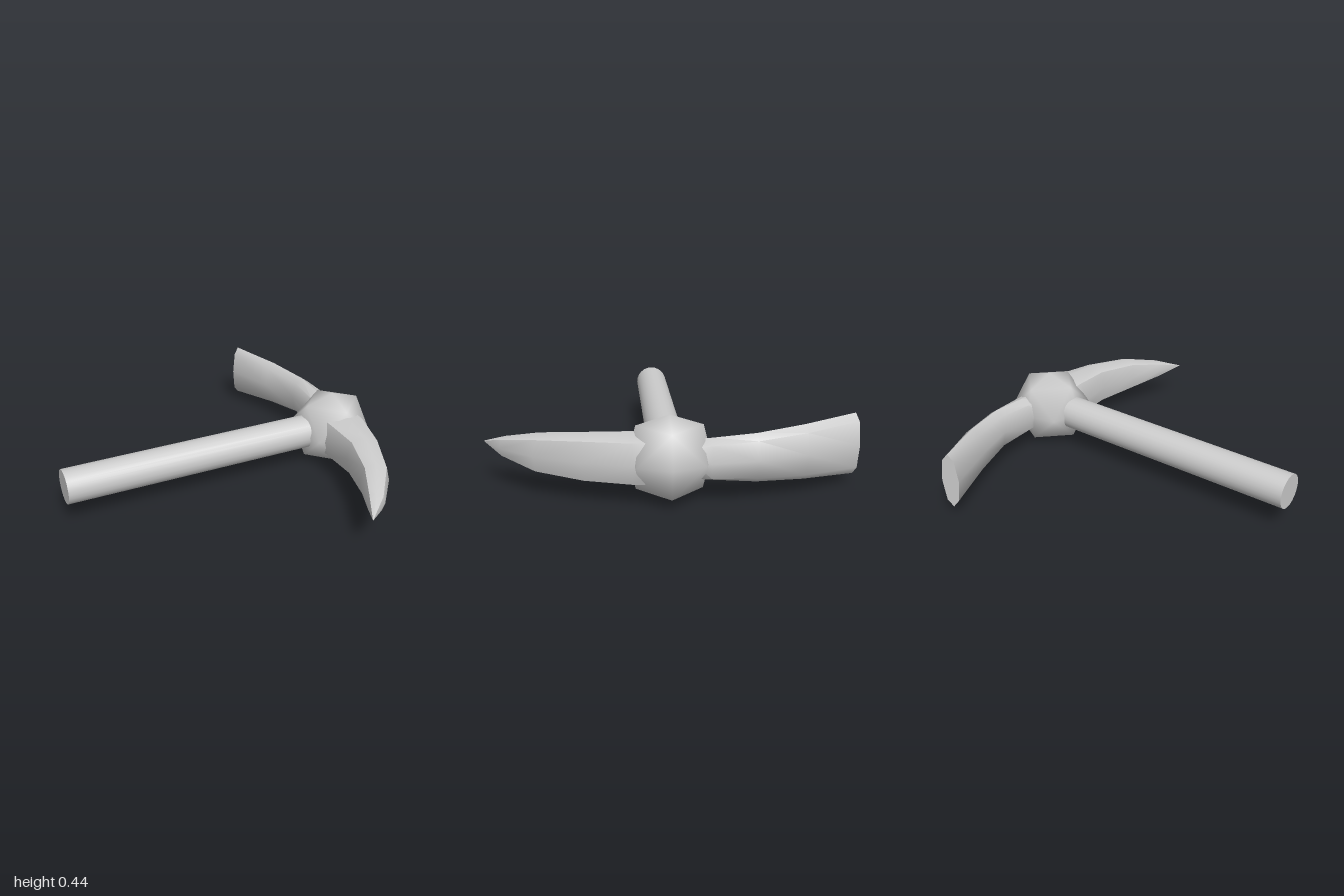
import * as THREE from 'three';
import { toCreasedNormals } from 'three/addons/utils/BufferGeometryUtils.js';

const CY = 0.227; // height of the tool's axis
const CZ = 0.02;
const HEAD_X = 0.73;

const material = new THREE.MeshStandardMaterial({ color: 0xcccccc });

// Eight-sided bar swept through stations [innerX, innerZ, outerX, outerZ, halfHeight].
// bevel is the position of the diagonal corners as fractions of half width and half height.
function prong(name, stations, bevel, flip) {
  const [bx, by] = bevel;
  const ring = [[1, 0], [bx, by], [0, 1], [-bx, by], [-1, 0], [-bx, -by], [0, -1], [bx, -by]];
  const n = ring.length;
  const pos = [];
  const idx = [];
  const tri = (a, b, c) => (flip ? idx.push(a, c, b) : idx.push(a, b, c));

  for (const [ix, iz, ox, oz, h] of stations) {
    for (const [u, v] of ring) {
      const t = (u + 1) / 2;
      pos.push(ix + (ox - ix) * t, CY + v * h, iz + (oz - iz) * t);
    }
  }
  for (let s = 0; s < stations.length - 1; s++) {
    for (let i = 0; i < n; i++) {
      const j = (i + 1) % n;
      const a = s * n;
      const b = a + n;
      tri(a + i, a + j, b + i);
      tri(a + j, b + j, b + i);
    }
  }
  // End cap
  const last = (stations.length - 1) * n;
  for (let i = 1; i < n - 1; i++) tri(last, last + i, last + i + 1);

  const geo = new THREE.BufferGeometry();
  geo.setAttribute('position', new THREE.Float32BufferAttribute(pos, 3));
  geo.setIndex(idx);
  const mesh = new THREE.Mesh(toCreasedNormals(geo, 0.8), material);
  mesh.name = name;
  return mesh;
}

export function createModel() {
  const group = new THREE.Group();
  group.name = 'pickaxe';

  // Round handle lying along x
  const handleLength = 1.57;
  const handle = new THREE.Mesh(new THREE.CylinderGeometry(0.1, 0.1, handleLength, 24), material);
  handle.name = 'handle';
  handle.rotation.z = Math.PI / 2;
  handle.position.set(-0.97 + handleLength / 2, CY, CZ);
  group.add(handle);

  // Faceted ball: poles and the corners between them have their own radii
  const ball = new THREE.OctahedronGeometry(1, 1);
  const p = ball.attributes.position;
  const pole = [0.235, 0.222, 0.215];
  const corner = [0.177, 0.168, 0.172];
  for (let i = 0; i < p.count; i++) {
    const v = [p.getX(i), p.getY(i), p.getZ(i)];
    const size = v.some((c) => Math.abs(c) > 0.9) ? pole : corner;
    p.setXYZ(i, ...v.map((c, k) => (Math.abs(c) < 0.1 ? 0 : Math.sign(c) * size[k])));
  }
  const head = new THREE.Mesh(ball, material);
  head.name = 'headBall';
  head.position.set(HEAD_X, CY, CZ);
  group.add(head);

  // Curved pointed spike at the front
  group.add(prong('spike', [
    [0.58, 0.1, 0.885, 0.1, 0.137],
    [0.585, 0.2, 0.875, 0.21, 0.137],
    [0.6, 0.41, 0.8, 0.46, 0.131],
    [0.535, 0.65, 0.69, 0.71, 0.107],
    [0.452, 0.84, 0.535, 0.895, 0.056],
    [0.389, 0.996, 0.391, 0.997, 0.001],
  ], [0.74, 0.78], false));

  // Flared flat blade at the back
  group.add(prong('blade', [
    [0.685, -0.1, 0.875, -0.1, 0.106],
    [0.69, -0.2, 0.868, -0.18, 0.111],
    [0.708, -0.42, 0.835, -0.42, 0.129],
    [0.633, -0.67, 0.76, -0.69, 0.148],
    [0.525, -0.96, 0.613, -1.0, 0.169],
  ], [0.68, 0.76], true));

  return group;
}
